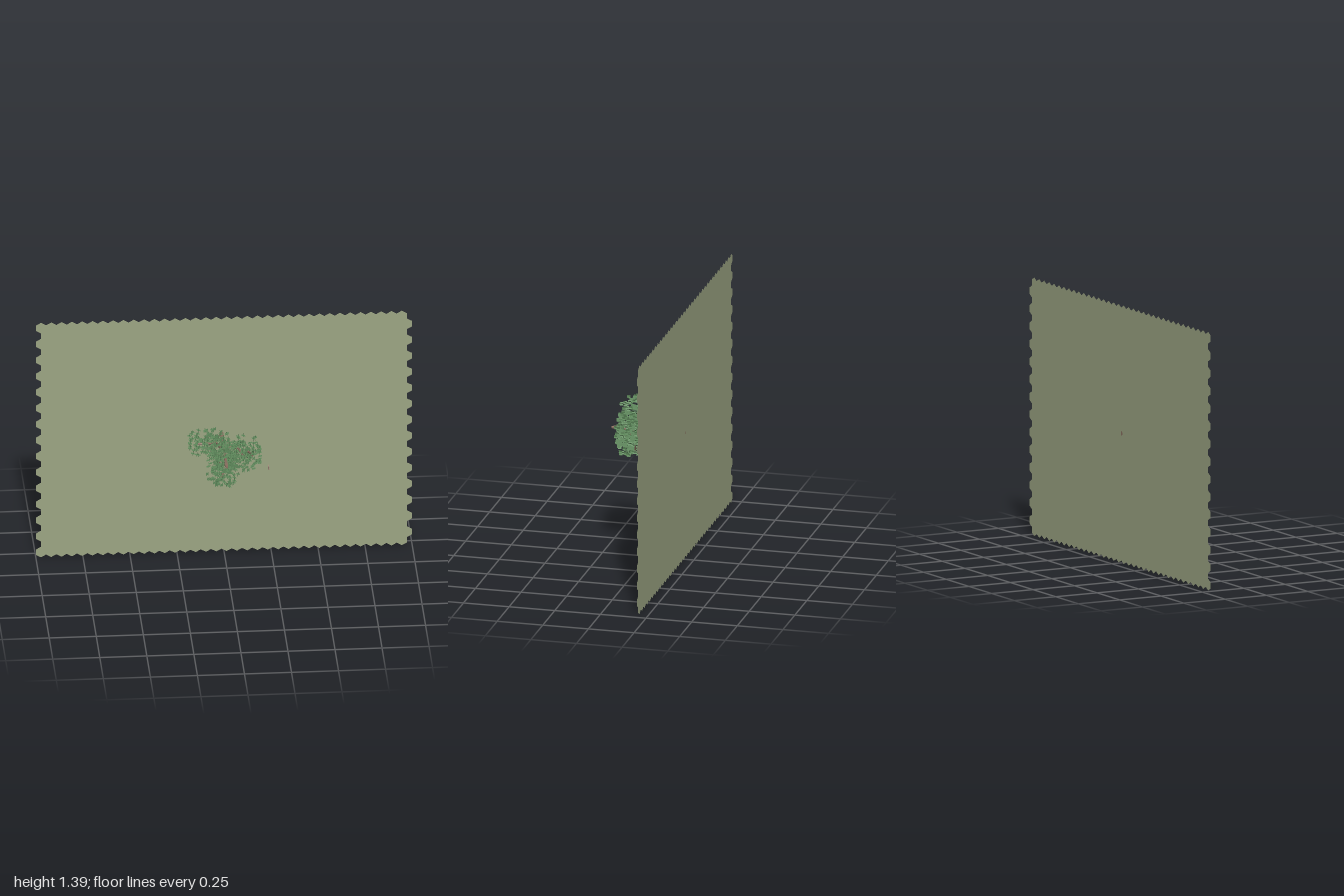
import * as THREE from 'three';
import { mergeGeometries } from 'three/addons/utils/BufferGeometryUtils.js';

const mat = (color, side = THREE.FrontSide) =>
  new THREE.MeshStandardMaterial({ color, side, flatShading: true });

function seeded(seed) {
  return () => {
    seed = (seed * 16807) % 2147483647;
    return seed / 2147483647;
  };
}

// Outline of a sheet of pointy-topped hexagons, odd rows shifted by half a tile
function hexSheet(cols, rows) {
  const w = 2 / (cols + 0.5), s = w / Math.sqrt(3);
  const left = (r) => -1 + (r % 2) * w / 2;
  const right = (r) => left(r) + cols * w;
  const y = (r) => s + r * 1.5 * s;
  const pts = [];
  for (let i = 0; i < cols; i++) {
    pts.push([left(0) + i * w, y(0) - s / 2], [left(0) + (i + 0.5) * w, y(0) - s]);
  }
  for (let r = 0; r < rows; r++) pts.push([right(r), y(r) - s / 2], [right(r), y(r) + s / 2]);
  const t = rows - 1;
  for (let i = 0; i < cols; i++) {
    pts.push([right(t) - (i + 0.5) * w, y(t) + s]);
    if (i < cols - 1) pts.push([right(t) - (i + 1) * w, y(t) + s / 2]);
  }
  for (let r = t; r >= 0; r--) {
    pts.push([left(r), y(r) + s / 2]);
    if (r > 0) pts.push([left(r), y(r) - s / 2]);
  }
  return new THREE.ShapeGeometry(new THREE.Shape(pts.map((p) => new THREE.Vector2(...p))));
}

// Tapered six-sided limb between two points
function limb(a, b, ra, rb) {
  const dir = b.clone().sub(a);
  const g = new THREE.CylinderGeometry(rb, ra, dir.length(), 6);
  g.applyQuaternion(new THREE.Quaternion().setFromUnitVectors(
    new THREE.Vector3(0, 1, 0), dir.normalize()));
  const m = a.clone().add(b).multiplyScalar(0.5);
  return g.translate(m.x, m.y, m.z);
}

export function createModel() {
  const model = new THREE.Group();
  const add = (name, geometry, material) => {
    const mesh = new THREE.Mesh(geometry, material);
    mesh.name = name;
    model.add(mesh);
    return mesh;
  };
  const V = (x, y, z) => new THREE.Vector3(x, y, z);
  const bark = mat(0x8a7060);

  // Upright ground sheet
  add('ground', hexSheet(36, 29), mat(0x9ca583, THREE.DoubleSide)).position.z = -0.2;

  // Trunk grows out of the sheet towards +z
  const cx = -0.015, cy = 0.7;
  add('trunk', mergeGeometries([
    limb(V(cx, cy, -0.2), V(cx, cy, 0), 0.0125, 0.008),
    limb(V(cx, cy, 0), V(cx, cy, 0.18), 0.008, 0.008),
    limb(V(cx, cy, 0.17), V(cx, cy, 0.203), 0.011, 0.007),
  ]), bark);

  // Branches step along a triangular lattice: [column, row, z]
  const step = 0.048, rise = step * Math.sqrt(3) / 2;
  const node = ([c, r, z]) => V(cx + c * step, cy + r * rise, z);
  const paths = [
    [[0, 0, 0.03], [-0.5, 1, 0.05], [-1, 2, 0.07], [-2, 2, 0.08], [-3, 2, 0.08]],
    [[0, 0, 0.03], [0.5, 1, 0.05], [1.5, 1, 0.06], [2, 0, 0.07], [3, 0, 0.08], [2.5, 1, 0.1]],
    [[0, 0, 0.03], [-0.5, -1, 0.05], [0, -2, 0.07], [-0.5, -3, 0.08]],
  ];
  const limbs = [], nodes = [];
  for (const path of paths) {
    const p = path.map(node);
    nodes.push(...p);
    for (let i = 1; i < p.length; i++) limbs.push(limb(p[i - 1], p[i], 0.0065, 0.0055));
  }
  limbs.push(limb(node([0.5, 1, -0.048]), node([0.5, 1, 0.05]), 0.004, 0.008));
  add('branches', mergeGeometries(limbs), bark);

  // Leaves: crossed cards standing edge-on to the front, clustered round the branches
  const rand = seeded(71);
  const cards = [];
  for (let i = 0; i < 620; i++) {
    const n = nodes[i % nodes.length];
    const angle = rand() * Math.PI * 2, reach = 0.068 * Math.sqrt(rand());
    const x = THREE.MathUtils.clamp(n.x + Math.cos(angle) * reach, -0.2, 0.168);
    const y = THREE.MathUtils.clamp(n.y + Math.sin(angle) * reach, 0.558, 0.845);
    const top = 0.168 - 1.1 * (x - cx) ** 2 - 0.7 * (y - cy) ** 2;
    const z = 0.009 + rand() * (top - 0.009);
    const turn = (i % 3) * Math.PI / 3 + Math.PI / 12;
    for (const a of [turn, turn + Math.PI / 2]) {
      cards.push(new THREE.PlaneGeometry(0.02, 0.018)
        .rotateX(Math.PI / 2).rotateZ(a).translate(x, y, z));
    }
  }
  add('leaves', mergeGeometries(cards), mat(0x5f8a5c, THREE.DoubleSide));

  // Small sprout beside the tree
  const sprout = new THREE.Group();
  sprout.name = 'sprout';
  const parts = [['sproutStem', 0.004, 0.008, 0.05, -0.175], ['sproutHead', 0.005, 0.016, 0.022, -0.168]];
  for (const [name, w, h, d, z] of parts) {
    const m = new THREE.Mesh(new THREE.BoxGeometry(w, h, d), mat(0xa58c7e));
    m.name = name;
    m.position.set(0.235, 0.503, z);
    sprout.add(m);
  }
  model.add(sprout);
  return model;
}
